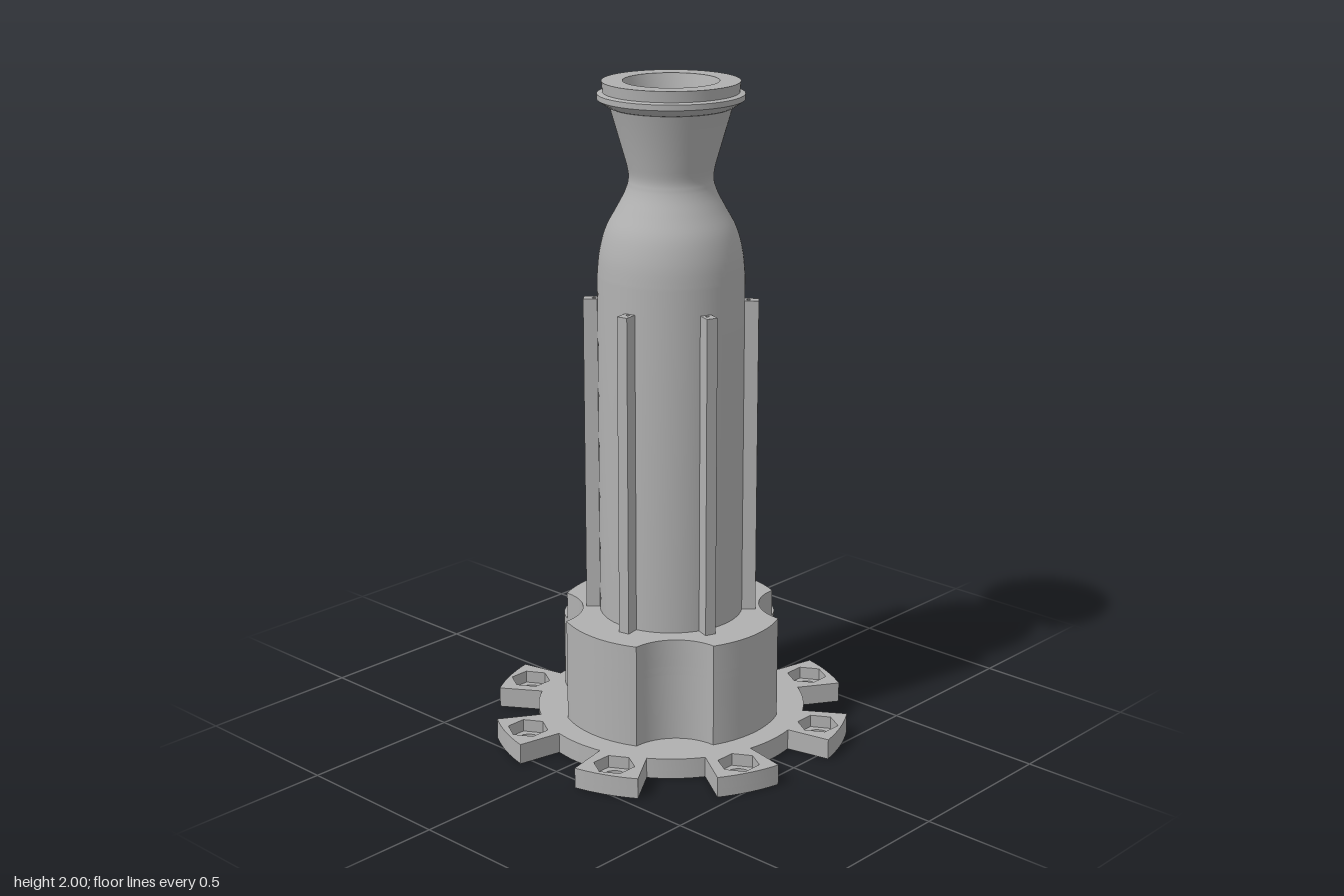
import * as THREE from 'three';
import { toCreasedNormals } from 'three/addons/utils/BufferGeometryUtils.js';

const RAD = Math.PI / 180;
const grey = new THREE.MeshStandardMaterial({ color: 0xb0b0b0 });
grey.name = 'plain grey';

function addMesh(parent, name, geometry) {
  const mesh = new THREE.Mesh(toCreasedNormals(geometry, 0.45), grey);
  mesh.name = name;
  parent.add(mesh);
  return mesh;
}

// Extrude a plan outline (drawn with +y towards the back) between two heights
function slab(shape, y0, y1) {
  const g = new THREE.ExtrudeGeometry(shape, { depth: y1 - y0, bevelEnabled: false, curveSegments: 24 });
  g.rotateX(-Math.PI / 2);
  return g.translate(0, y0, 0);
}

function lathe(points, segments = 72) {
  return new THREE.LatheGeometry(points.map(([r, y]) => new THREE.Vector2(r, y)), segments);
}

function circlePath(x, y, r) {
  return new THREE.Path().absarc(x, y, r, 0, Math.PI * 2, true);
}

// Points along an arc, angles in degrees
function arc(cx, cy, r, a0, a1, n = 20) {
  return Array.from({ length: n + 1 }, (_, i) => {
    const a = (a0 + ((a1 - a0) * i) / n) * RAD;
    return new THREE.Vector2(cx + r * Math.cos(a), cy + r * Math.sin(a));
  });
}

// Two threaded sockets, under the +x and the rear lobes
const SOCKET_R = 0.13, SOCKET_TOP = 0.27, LOBE = 0.24;
const sockets = [[LOBE, 0], [0, LOBE]];
const cutSockets = (shape) => {
  for (const [x, y] of sockets) shape.holes.push(circlePath(x, y, SOCKET_R));
  return shape;
};

// Four-lobed collar outline with scalloped corners; two lobes may bulge further
function collarShape(bulged) {
  const pts = [];
  const origin = new THREE.Vector2();
  for (let q = 0; q < 4; q++) {
    const lobe = bulged && q < 2 ? arc(LOBE, 0, 0.161, -65.3, 65.3) : arc(0, 0, 0.34, -25.4, 25.4);
    const scallop = arc(0.3, 0.3, 0.154, -87.4, -182.6).slice(1, -1);
    for (const p of [...lobe, ...scallop]) pts.push(p.rotateAround(origin, q * Math.PI / 2));
  }
  return new THREE.Shape(pts);
}

// Flange disc with eight radial tabs, each with a bolt opening
function flangeShape(openingRadius, sides) {
  const pts = [];
  for (let i = 0; i < 8; i++) {
    const c = 22.5 + i * 45;
    pts.push(...arc(0, 0, 0.549, c - 10.4, c + 10.4, 8));
    pts.push(...arc(0, 0, 0.412, c + 10.4, c + 34.6, 10));
  }
  const shape = cutSockets(new THREE.Shape(pts));
  for (let i = 0; i < 8; i++) {
    const a = (22.5 + i * 45) * RAD;
    const ring = arc(0.477 * Math.cos(a), 0.477 * Math.sin(a), openingRadius, 360, 0, sides).slice(0, -1);
    shape.holes.push(new THREE.Path(ring));
  }
  return shape;
}

export function createModel() {
  const model = new THREE.Group();
  model.name = 'nozzleTube';

  // Flange: round bolt holes below, hexagonal nut pockets above
  const flange = new THREE.Group();
  flange.name = 'flange';
  model.add(flange);
  addMesh(flange, 'flangeBoltLayer', slab(flangeShape(0.037, 28), 0, 0.025));
  addMesh(flange, 'flangeNutLayer', slab(flangeShape(0.062, 6), 0.025, 0.063));

  // Collar: socket layer, socket roof, and the plain upper step
  const collar = new THREE.Group();
  collar.name = 'collar';
  model.add(collar);
  addMesh(collar, 'collarSocketLayer', slab(cutSockets(collarShape(true)), 0.063, SOCKET_TOP));
  addMesh(collar, 'collarSocketRoof', slab(collarShape(true), SOCKET_TOP, 0.297));
  addMesh(collar, 'collarTop', slab(collarShape(false), 0.297, 0.382));

  // Internal threads, profile run downwards so the faces look inwards
  const turns = 11, pitch = SOCKET_TOP / turns;
  const thread = [];
  for (let i = 0; i < turns; i++) {
    const y = SOCKET_TOP - i * pitch;
    thread.push([SOCKET_R, y], [SOCKET_R - 0.012, y - pitch / 2]);
  }
  thread.push([SOCKET_R, 0]);
  for (const [x, y] of sockets) {
    addMesh(model, 'socketThread', lathe(thread, 40)).position.set(x, 0, -y);
  }

  // Hollow tube: shoulder, throat, flared mouth with lip, then back down the bore
  const shoulder = new THREE.SplineCurve([
    [0.218, 1.43], [0.211, 1.5], [0.192, 1.57], [0.16, 1.63], [0.134, 1.68], [0.124, 1.72], [0.13, 1.76],
  ].map(([r, y]) => new THREE.Vector2(r, y))).getPoints(28).map((p) => [p.x, p.y]);
  addMesh(model, 'tube', lathe([
    [0.218, 0.34], ...shoulder,
    [0.178, 1.925], [0.186, 1.928], [0.214, 1.948], [0.214, 1.964], [0.198, 1.968], [0.201, 2],
    [0.14, 2], [0.066, 1.74], [0.066, 1.69], [0.1, 1.62], [0.14, 1.52], [0.15, 1.43],
    [0.15, 0.36], [0, 0.36],
  ]));

  // Six ribs along the tube, each with a small bore
  const rib = new THREE.Shape([[0.2, -0.017], [0.259, -0.017], [0.259, 0.017], [0.2, 0.017]]
    .map(([x, y]) => new THREE.Vector2(x, y)));
  rib.holes.push(circlePath(0.228, 0, 0.006));
  const ribGeometry = slab(rib, 0.38, 1.355);
  for (let i = 0; i < 6; i++) {
    addMesh(model, 'rib', ribGeometry).rotation.y = (10 + i * 60) * RAD;
  }

  return model;
}
